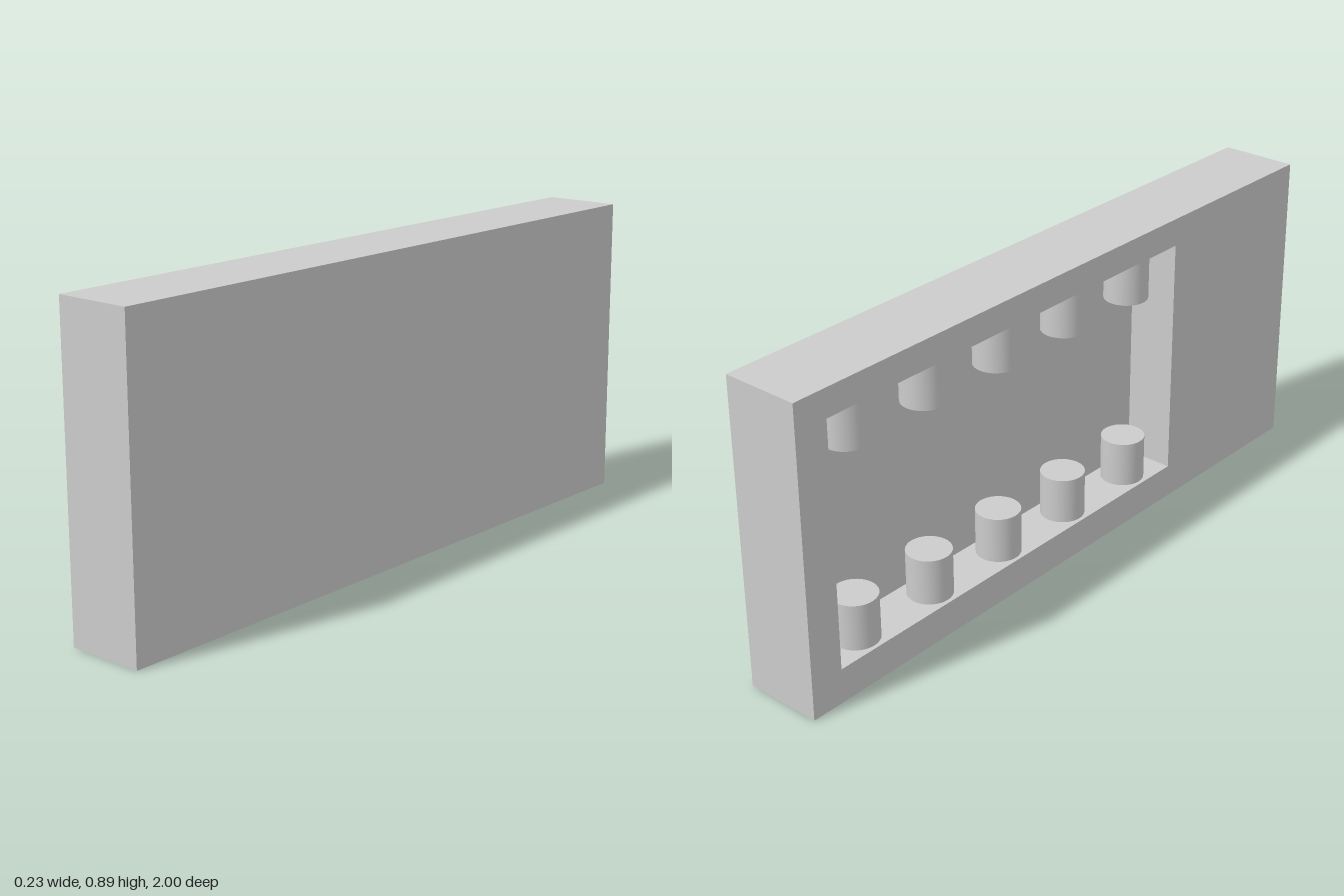
import * as THREE from 'three';

const HALF_X = 0.113, HEIGHT = 0.886, LENGTH = 2;
const RECESS = { z0: -0.9, z1: 0.44, y0: 0.1, y1: 0.806, depth: 0.148 };
const PEG = { radius: 0.063, height: 0.133, count: 5, pitch: 0.272 };

export function createModel() {
  const group = new THREE.Group();
  const grey = new THREE.MeshStandardMaterial({ color: 0xcccccc });
  const add = (name, geometry, x, y, z) => {
    const mesh = new THREE.Mesh(geometry, grey);
    mesh.name = name;
    mesh.position.set(x, y, z);
    group.add(mesh);
  };
  const floorX = -HALF_X + RECESS.depth;

  // Frame around the off-centre rectangular recess, open towards -x
  const outline = new THREE.Shape([
    new THREE.Vector2(-LENGTH / 2, 0), new THREE.Vector2(LENGTH / 2, 0),
    new THREE.Vector2(LENGTH / 2, HEIGHT), new THREE.Vector2(-LENGTH / 2, HEIGHT),
  ]);
  const { z0, z1, y0, y1 } = RECESS;
  outline.holes.push(new THREE.Path([
    new THREE.Vector2(z0, y0), new THREE.Vector2(z0, y1),
    new THREE.Vector2(z1, y1), new THREE.Vector2(z1, y0),
  ]));
  const frame = new THREE.ExtrudeGeometry(outline, { depth: RECESS.depth, bevelEnabled: false });
  frame.rotateY(-Math.PI / 2);
  add('recessFrame', frame, floorX, 0, 0);

  // Solid panel closing the recess
  const thickness = HALF_X - floorX;
  add('backPanel', new THREE.BoxGeometry(thickness, HEIGHT, LENGTH), floorX + thickness / 2, HEIGHT / 2, 0);

  // Facing rows of round pegs on the recess floor and ceiling
  const peg = new THREE.CylinderGeometry(PEG.radius, PEG.radius, PEG.height, 48);
  const pegX = -HALF_X + RECESS.depth / 2;
  for (let i = 0; i < PEG.count; i++) {
    const z = (z0 + z1) / 2 + (i - (PEG.count - 1) / 2) * PEG.pitch;
    add('lowerPeg' + (i + 1), peg, pegX, y0 + PEG.height / 2, z);
    add('upperPeg' + (i + 1), peg, pegX, y1 - PEG.height / 2, z);
  }
  return group;
}
